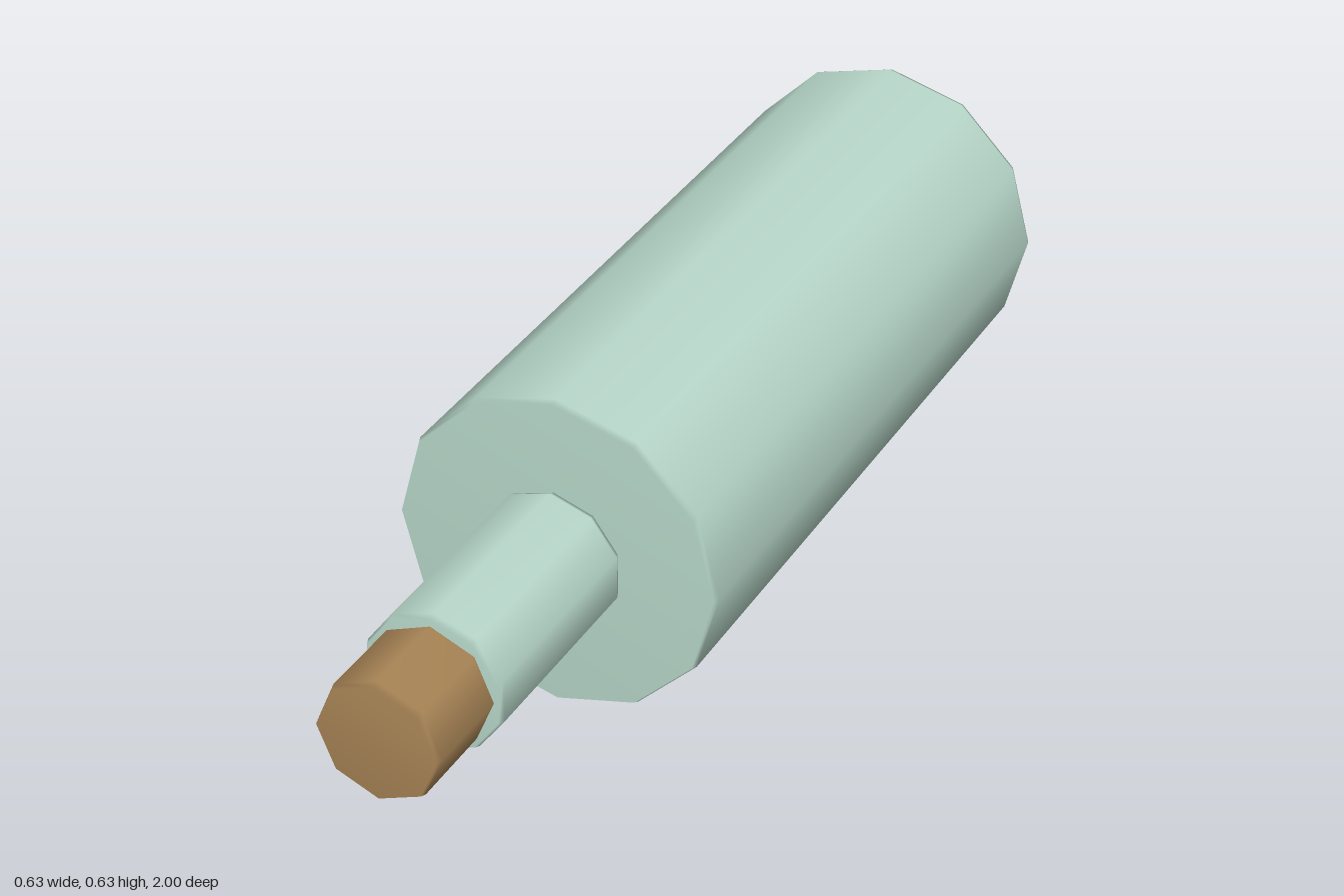
import * as THREE from 'three';

const AXIS_Y = 0.313;

// Capped prism along z with a small bevel at both ends and softly blended normals
function bevelledBar(name, material, radius, sides, zBack, zFront, inset, depth) {
  const profile = [
    [0, zBack],
    [radius - inset, zBack],
    [radius, zBack + depth],
    [radius, zFront - depth],
    [radius - inset, zFront],
    [0, zFront],
  ].map(([r, z]) => new THREE.Vector2(r, z));
  const geometry = new THREE.LatheGeometry(profile, sides);
  geometry.rotateX(Math.PI / 2);
  const mesh = new THREE.Mesh(geometry, material);
  mesh.name = name;
  mesh.position.y = AXIS_Y;
  return mesh;
}

export function createModel() {
  const mint = new THREE.MeshStandardMaterial({ color: 0xb8d8ca });
  mint.name = 'pale mint';
  const brown = new THREE.MeshStandardMaterial({ color: 0xa98556 });
  brown.name = 'warm brown';

  const model = new THREE.Group();
  model.name = 'steppedCylinder';
  model.add(
    // Twelve-sided main barrel
    bevelledBar('barrel', mint, 0.313, 12, -1, 0.4, 0.005, 0.012),
    // Ten-sided neck
    bevelledBar('neck', mint, 0.135, 10, 0.4, 0.82, 0.005, 0.012),
    // Eight-sided tip
    bevelledBar('tip', brown, 0.117, 8, 0.81, 1, 0.004, 0.012),
  );
  return model;
}
